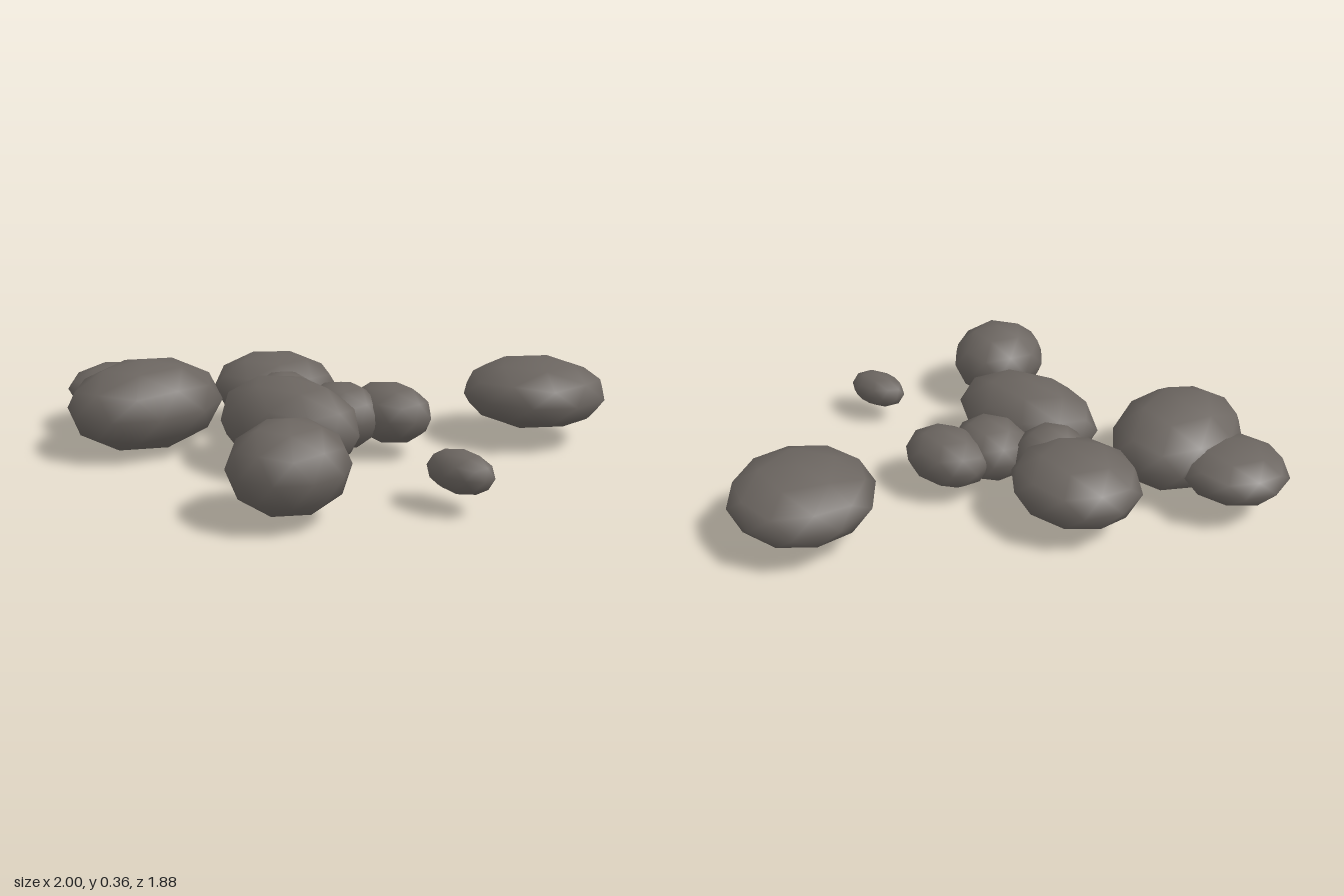
import * as THREE from 'three';

// name, centre (x, y, z), radii (x, y, z)
const ROCKS = [
  ['frontRightBoulder', [-0.483, 0.183, 0.6], [0.271, 0.182, 0.33]],
  ['farRightStone', [-0.782, 0.178, 0.525], [0.229, 0.104, 0.22]],
  ['middleRightBoulder', [-0.313, 0.19, 0.06], [0.276, 0.146, 0.25]],
  ['centreBoulder', [0.132, 0.19, 0.37], [0.334, 0.176, 0.215]],
  ['frontLeftBoulder', [0.53, 0.192, 0.715], [0.21, 0.167, 0.22]],
  ['backBoulder', [0.515, 0.2, -0.645], [0.299, 0.141, 0.295]],
  ['smallOuterStone', [0.868, 0.143, 0.228], [0.139, 0.077, 0.088]],
  ['backCentreStone', [0.245, 0.168, -0.06], [0.195, 0.123, 0.147]],
  ['innerLeftStone', [0.135, 0.165, 0.1], [0.175, 0.135, 0.16]],
  ['innerRightStone', [-0.115, 0.175, 0.18], [0.153, 0.135, 0.16]],
];

export function createModel() {
  const group = new THREE.Group();
  group.name = 'rockCluster';
  const stone = new THREE.MeshStandardMaterial({ color: 0x6b6560 });
  stone.name = 'stone';

  // Smooth-shaded icosphere with one corner turned to the top
  const ball = new THREE.IcosahedronGeometry(1, 1);
  ball.rotateZ(Math.atan(2 / (1 + Math.sqrt(5))));

  for (const [name, centre, radii] of ROCKS) {
    const rock = new THREE.Mesh(ball, stone);
    rock.name = name;
    rock.position.set(...centre);
    rock.scale.set(...radii);
    group.add(rock);
  }
  return group;
}
